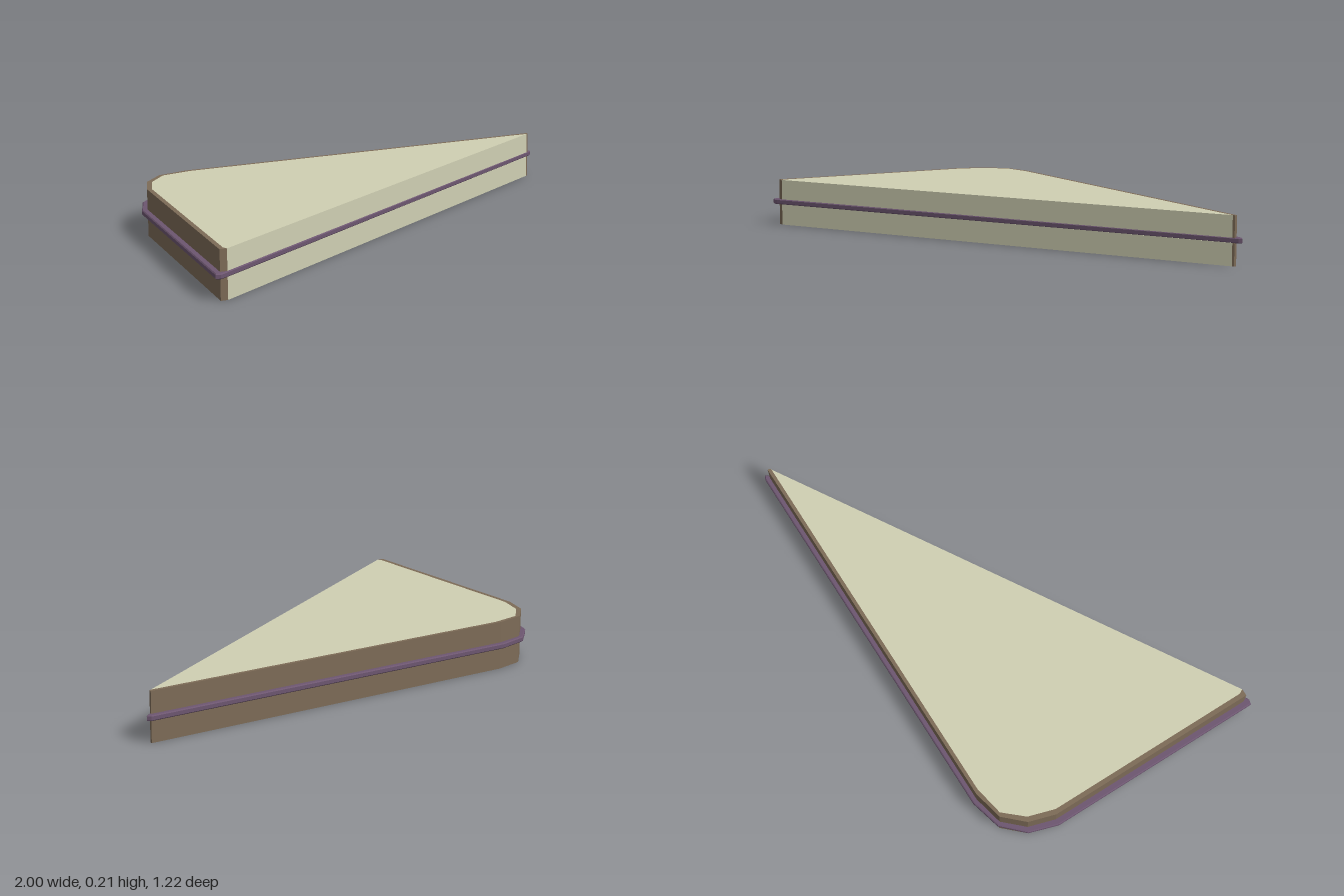
import * as THREE from 'three';

const CREAM = 0xd0d0b3, BROWN = 0x7d6b57, PURPLE = 0x6d5670;

// Extrudes a plan outline of [x, z] points between two heights, with an optional chamfer
function slab(name, points, y0, y1, color, bevel = 0) {
  const shape = new THREE.Shape(points.map(([x, z]) => new THREE.Vector2(x, -z)));
  const geometry = new THREE.ExtrudeGeometry(shape, {
    depth: y1 - y0 - 2 * bevel,
    bevelEnabled: bevel > 0,
    bevelThickness: bevel,
    bevelSize: bevel,
    bevelOffset: -bevel,
    bevelSegments: 1,
  });
  geometry.rotateX(-Math.PI / 2);
  geometry.translate(0, y0 + bevel, 0);
  const mesh = new THREE.Mesh(geometry, new THREE.MeshStandardMaterial({ color }));
  mesh.name = name;
  return mesh;
}

export function createModel() {
  const group = new THREE.Group();
  group.name = 'sandwichHalf';

  // Outer edge of the crust, from the front left tip round the corner to the far tip
  const outer = [
    [-0.945, 0.58], [-0.975, 0.58], [-0.975, -0.36], [-0.94, -0.475],
    [-0.86, -0.56], [-0.73, -0.59], [0.975, -0.59], [0.975, -0.58],
  ];
  // Line where the crust meets the crumb
  const inner = [
    [-0.945, 0.58], [-0.955, 0.56], [-0.955, -0.35], [-0.92, -0.465],
    [-0.845, -0.55], [-0.715, -0.575], [0.967, -0.575],
  ];
  const crust = [...outer, ...inner.slice(1).reverse()];

  // Two bread slices, each a pale crumb wrapped by a crust on its uncut sides
  for (const [name, y0, y1] of [['bottomSlice', 0, 0.095], ['topSlice', 0.116, 0.207]]) {
    const slice = new THREE.Group();
    slice.name = name;
    slice.add(slab('crumb', inner, y0, y1, CREAM), slab('crust', crust, y0, y1, BROWN));
    group.add(slice);
  }

  // Filling sticks out past the crust and is flush with the diagonal cut
  const filling = [
    [-0.965, 0.598], [-0.98, 0.605], [-1, 0.6], [-1, -0.36], [-0.96, -0.485],
    [-0.87, -0.575], [-0.735, -0.61], [0.985, -0.61], [1, -0.6], [0.99, -0.588],
  ];
  group.add(slab('filling', filling, 0.094, 0.117, PURPLE, 0.004));
  return group;
}
